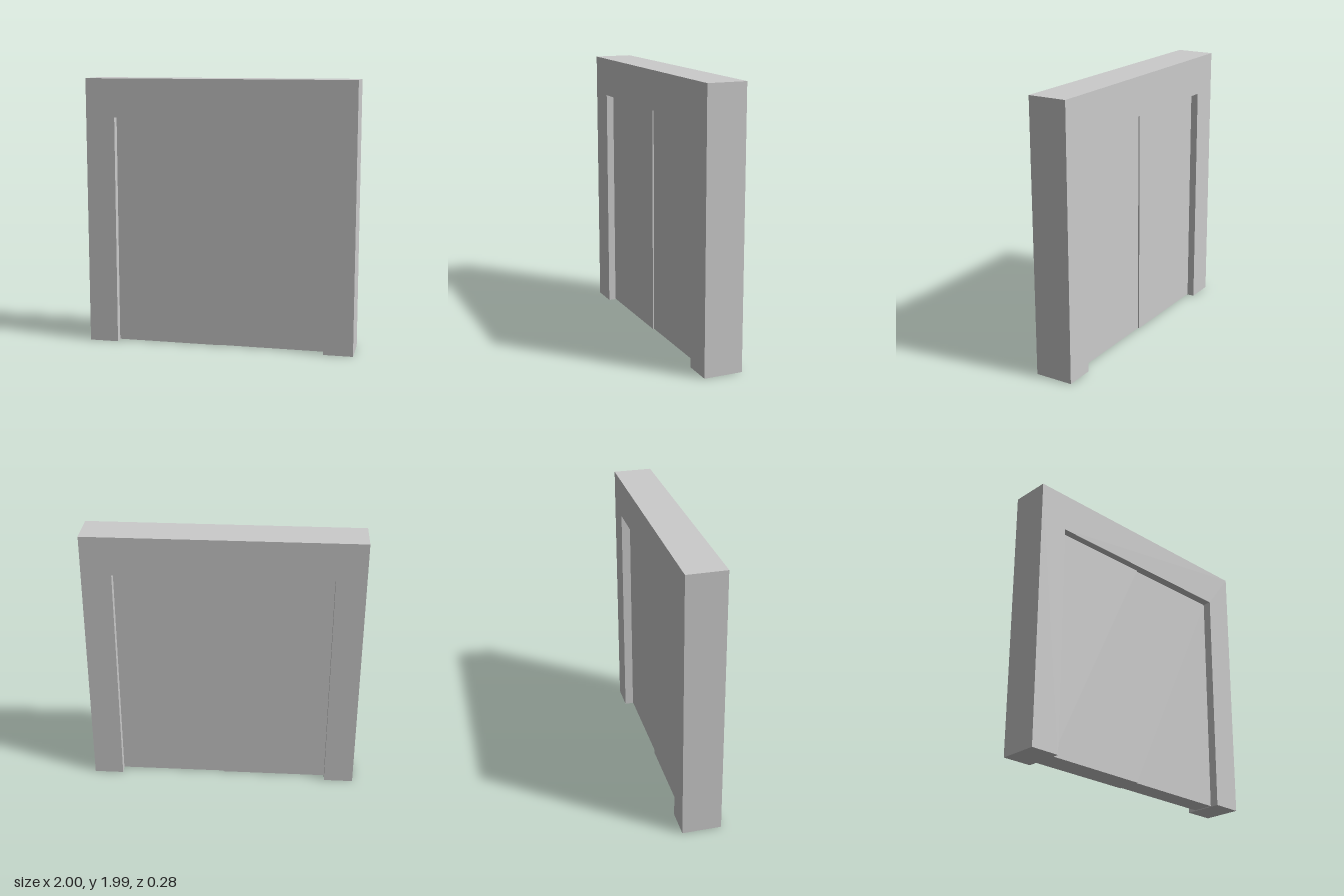
import * as THREE from 'three';

const WIDTH = 2, HEIGHT = 1.985, DEPTH = 0.284;
const OPEN_HALF = 0.783, OPEN_TOP = 1.7, FLOOR_GAP = 0.005;

export function createModel() {
  const group = new THREE.Group();
  const material = new THREE.MeshStandardMaterial({ color: 0xcccccc, flatShading: true });

  // Surround: two jambs and a lintel in one piece, open at the floor
  const outline = new THREE.Shape([
    [-WIDTH / 2, 0], [-OPEN_HALF, 0], [-OPEN_HALF, OPEN_TOP], [OPEN_HALF, OPEN_TOP],
    [OPEN_HALF, 0], [WIDTH / 2, 0], [WIDTH / 2, HEIGHT], [-WIDTH / 2, HEIGHT],
  ].map(([x, y]) => new THREE.Vector2(x, y)));
  const frameGeometry = new THREE.ExtrudeGeometry(outline, { depth: DEPTH, bevelEnabled: false });
  frameGeometry.translate(0, 0, -DEPTH / 2);
  const frame = new THREE.Mesh(frameGeometry, material);
  frame.name = 'doorFrame';
  group.add(frame);

  // Two recessed leaves; the right one is slightly thicker, leaving a step at the seam
  const leafHeight = OPEN_TOP - FLOOR_GAP;
  for (const [name, side, thickness] of [['leftDoor', 1, 0.154], ['rightDoor', -1, 0.174]]) {
    const leaf = new THREE.Mesh(new THREE.BoxGeometry(OPEN_HALF, leafHeight, thickness), material);
    leaf.position.set(side * OPEN_HALF / 2, FLOOR_GAP + leafHeight / 2, 0);
    leaf.name = name;
    group.add(leaf);
  }
  return group;
}
